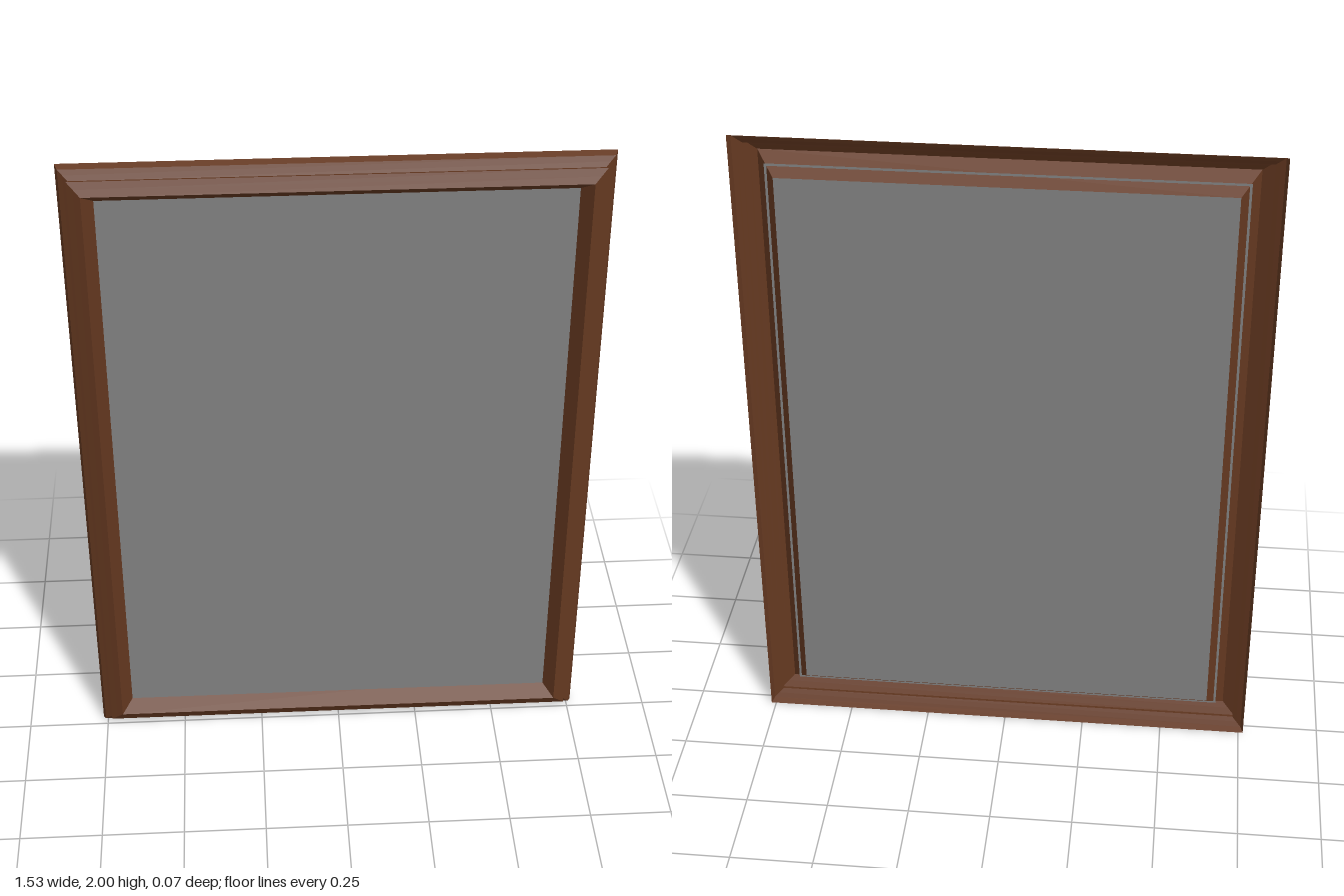
import * as THREE from 'three';

const HALF_W = 0.765, HALF_H = 1;

// Moulding cross-section from the outer edge inwards: [inset, z]
const PROFILE = [
  [0, -0.035], [0.008, -0.016], [0.022, -0.008], [0.035, 0],
  [0.031, 0.013], [0.05, 0.024], [0.068, 0.035], [0.122, -0.035],
];

// The four mitre corners, counter-clockwise from the front
const CORNERS = [[-1, -1], [1, -1], [1, 1], [-1, 1]];

const cornerPoint = (k, [inset, z]) => {
  const [sx, sy] = CORNERS[k % 4];
  return [sx * (HALF_W - inset), HALF_H + sy * (HALF_H - inset), z];
};

// One mitred rail: the open profile swept between two neighbouring corners
function railGeometry(k) {
  const pos = [];
  for (let i = 0; i < PROFILE.length - 1; i++) {
    const a = cornerPoint(k, PROFILE[i]);
    const b = cornerPoint(k + 1, PROFILE[i]);
    const c = cornerPoint(k + 1, PROFILE[i + 1]);
    const d = cornerPoint(k, PROFILE[i + 1]);
    pos.push(...a, ...b, ...c, ...a, ...c, ...d);
  }
  const geo = new THREE.BufferGeometry();
  geo.setAttribute('position', new THREE.Float32BufferAttribute(pos, 3));
  geo.computeVertexNormals();
  return geo;
}

export function createModel() {
  const wood = new THREE.MeshStandardMaterial({ color: 0x643820, side: THREE.DoubleSide });
  wood.name = 'brown wood';
  const grey = new THREE.MeshStandardMaterial({ color: 0x808080, side: THREE.DoubleSide });
  grey.name = 'grey panel';

  const model = new THREE.Group();
  model.name = 'pictureFrame';

  // Hollow-backed moulding
  const frame = new THREE.Group();
  frame.name = 'frame';
  ['bottomRail', 'leftRail', 'topRail', 'rightRail'].forEach((name, k) => {
    const rail = new THREE.Mesh(railGeometry(k), wood);
    rail.name = name;
    frame.add(rail);
  });
  model.add(frame);

  // Flat panel, its rim just passing through the inner bevel
  const panel = new THREE.Mesh(new THREE.PlaneGeometry(1.345, 1.815), grey);
  panel.name = 'panel';
  panel.position.set(0, HALF_H, -0.006);
  model.add(panel);

  return model;
}
